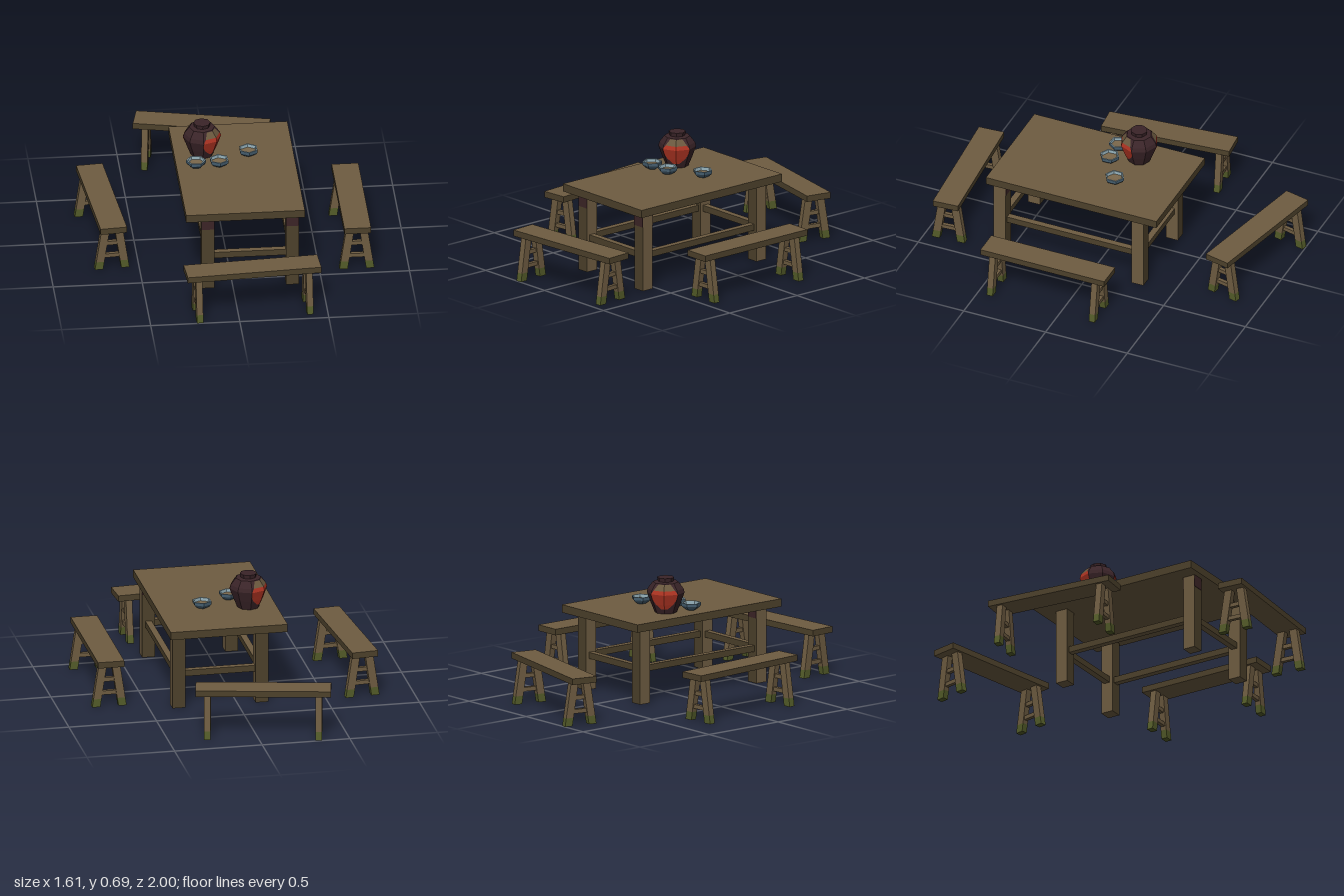
import * as THREE from 'three';

const mat = (name, color) => {
  const m = new THREE.MeshStandardMaterial({ color, flatShading: true });
  m.name = name;
  return m;
};

export function createModel() {
  const wood = mat('wood', 0x6e5c41);
  const edgeWood = mat('dark edge wood', 0x4d412b);
  const moss = mat('moss', 0x545c29);
  const darkStain = mat('dark stain', 0x3c2426);
  const clay = mat('dark clay', 0x3a2428);
  const red = mat('red label', 0xb23523);
  const tan = mat('tan label', 0x6a583e);
  const blue = mat('blue glaze', 0x465f70);
  const rimBlue = mat('pale rim', 0x93aeb8);
  const inside = mat('bowl inside', 0x7a674b);
  tan.side = red.side = THREE.DoubleSide;

  // Face colours in box order: +x, -x, +y, -y, +z, -z
  const slabWood = [edgeWood, edgeWood, wood, wood, edgeWood, edgeWood];
  const postWood = [wood, wood, wood, wood, edgeWood, edgeWood];

  const model = new THREE.Group();
  const group = (name, parent = model) => {
    const g = new THREE.Group();
    g.name = name;
    parent.add(g);
    return g;
  };
  const add = (parent, name, geo, material, x = 0, y = 0, z = 0) => {
    const m = new THREE.Mesh(geo, material);
    m.name = name;
    m.position.set(x, y, z);
    parent.add(m);
    return m;
  };
  const box = (parent, name, material, w, h, d, x, y, z) =>
    add(parent, name, new THREE.BoxGeometry(w, h, d), material, x, y, z);

  // Table: slab over an off-centre frame of square legs and stretchers
  const table = group('table');
  box(table, 'tableTop', slabWood, 0.667, 0.045, 1.042, 0.067, 0.464, 0.109);
  const frame = group('tableFrame', table);
  frame.position.set(0.098, 0, 0.138);
  for (const sx of [-1, 1]) {
    for (const sz of [-1, 1]) {
      box(frame, 'tableLeg', postWood, 0.073, 0.442, 0.073, sx * 0.237, 0.221, sz * 0.421);
    }
    for (const face of [-1, 1]) {
      box(frame, 'legStain', darkStain, 0.073, 0.07, 0.003,
        sx * 0.237, 0.407, 0.421 + face * 0.0365);
    }
    box(frame, 'sideStretcher', slabWood, 0.036, 0.036, 0.77, sx * 0.237, 0.197, 0);
    box(frame, 'endStretcher', slabWood, 0.4, 0.036, 0.036, 0, 0.197, sx * 0.421);
  }

  // Benches: plank on two splayed trestles with rungs
  const splay = (y) => 0.075 - 0.152 * y;
  const legPiece = (parent, name, material, side, z, y0, y1) => {
    const geo = new THREE.BoxGeometry(0.046, y1 - y0, 0.036);
    geo.translate(0, (y0 + y1) / 2, 0);
    const p = geo.attributes.position;
    for (let i = 0; i < p.count; i++) p.setX(i, p.getX(i) + side * splay(p.getY(i)));
    geo.computeVertexNormals();
    add(parent, name, geo, material, 0, 0, z);
  };
  const bench = (name, x, z, turn) => {
    const b = group(name);
    b.position.set(x, 0, z);
    b.rotation.y = turn;
    box(b, 'seat', slabWood, 0.15, 0.035, 0.757, 0, 0.2645, 0);
    for (const end of [-0.312, 0.312]) {
      for (const side of [-1, 1]) {
        legPiece(b, 'benchLeg', wood, side, end, 0.047, 0.248);
        legPiece(b, 'mossyFoot', moss, side, end, 0, 0.047);
      }
      for (const y of [0.08, 0.158]) {
        box(b, 'rung', wood, 2 * splay(y), 0.023, 0.022, 0, y, end);
      }
    }
  };
  bench('leftBench', 0.71, 0.115, 0);
  bench('rightBench', -0.68, -0.012, 0.088);
  bench('frontBench', 0.083, 0.878, Math.PI / 2 + 0.07);
  bench('backBench', -0.041, -0.831, 1.35);

  // Jar: eight-sided body with a short closed neck
  const jar = group('jar');
  jar.position.set(-0.11, 0.486, -0.08);
  const profile = [[0, 0], [0.062, 0], [0.085, 0.055], [0.106, 0.115], [0.1, 0.137],
    [0.072, 0.174], [0.044, 0.178], [0.048, 0.2], [0, 0.2]];
  add(jar, 'jarBody',
    new THREE.LatheGeometry(profile.map(([r, y]) => new THREE.Vector2(r, y)), 8), clay);

  // Labels follow the jar facets; rows are [height, half angle in degrees]
  const radiusAt = (y) => {
    let i = 1;
    while (y > profile[i + 1][1]) i++;
    const [r0, y0] = profile[i], [r1, y1] = profile[i + 1];
    return r0 + (r1 - r0) * (y - y0) / (y1 - y0);
  };
  const label = (name, material, rows, turn) => {
    const pos = [], idx = [];
    rows.forEach(([y, half], i) => {
      for (const s of [-1, 0, 1]) {
        const a = s * half * Math.PI / 180, e = Math.PI / 8;
        const r = radiusAt(y) * Math.cos(e) / Math.cos(Math.abs(a) - e) + 0.002;
        pos.push(r * Math.sin(a), y + 0.001, r * Math.cos(a));
      }
      if (i === 0) return;
      for (let k = 0; k < 2; k++) {
        const a = (i - 1) * 3 + k, c = i * 3 + k;
        idx.push(a, a + 1, c + 1, a, c + 1, c);
      }
    });
    const geo = new THREE.BufferGeometry();
    geo.setAttribute('position', new THREE.Float32BufferAttribute(pos, 3));
    geo.setIndex(idx);
    geo.computeVertexNormals();
    add(jar, name, geo, material).rotation.y = turn;
  };
  for (const turn of [Math.PI / 4, -Math.PI * 3 / 4]) {
    label('redLabel', red,
      [[0.028, 14], [0.055, 36], [0.085, 45], [0.115, 45], [0.137, 38]], turn);
    label('tanLabel', tan, [[0.137, 38], [0.17, 28]], turn);
  }

  // Bowls: six-sided, with a pale thin rim and a tan inside
  const bowl = (x, z, turn) => {
    const b = group('bowl');
    b.position.set(x, 0.486, z);
    b.rotation.y = turn;
    const lathe = (name, pts, material) => add(b, name,
      new THREE.LatheGeometry(pts.map(([r, y]) => new THREE.Vector2(r, y)), 6), material);
    lathe('bowlOutside', [[0, 0], [0.025, 0], [0.046, 0.014], [0.055, 0.025], [0.056, 0.042]], blue);
    lathe('bowlRim', [[0.056, 0.042], [0.048, 0.042], [0.046, 0.024]], rimBlue);
    lathe('bowlInside', [[0.046, 0.024], [0, 0.02]], inside);
  };
  bowl(-0.157, 0.065, 0.45);
  bowl(-0.027, 0.063, 0.05);
  bowl(0.147, -0.045, 0);

  return model;
}
